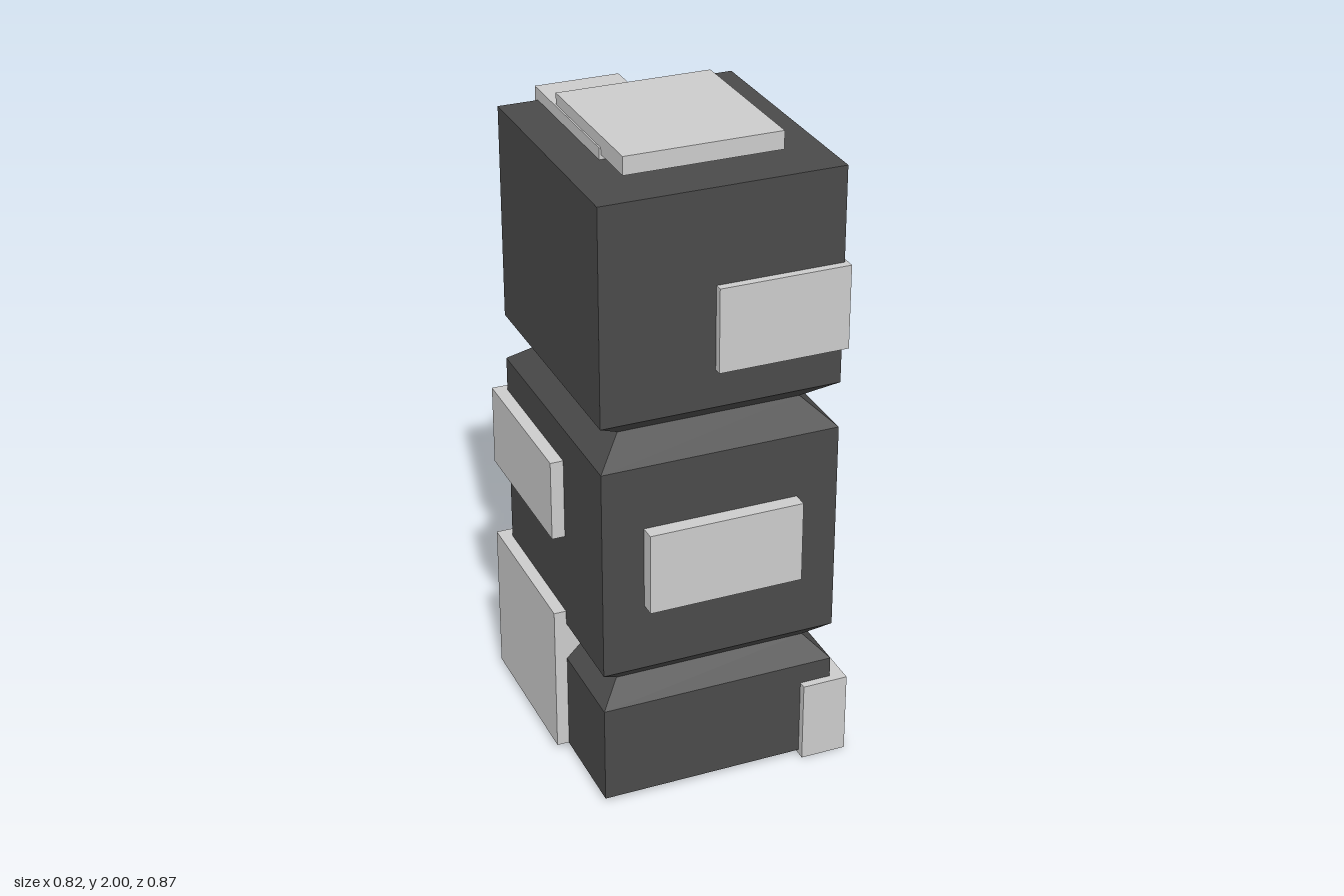
import * as THREE from 'three';

const dark = new THREE.MeshStandardMaterial({ color: 0x4a4a4a, flatShading: true });
const grey = new THREE.MeshStandardMaterial({ color: 0xcccccc, flatShading: true });

// Square column lofted through rectangular rings: [y, x0, x1, z0, z1]
function loft(rings) {
  const pos = [];
  const corners = rings.map(([y, x0, x1, z0, z1]) => [
    [x0, y, z1], [x1, y, z1], [x1, y, z0], [x0, y, z0],
  ]);
  const quad = (a, b, c, d) => pos.push(...a, ...b, ...c, ...a, ...c, ...d);
  for (let i = 0; i < corners.length - 1; i++) {
    const lo = corners[i], hi = corners[i + 1];
    for (let k = 0; k < 4; k++) {
      const n = (k + 1) % 4;
      quad(lo[k], lo[n], hi[n], hi[k]);
    }
  }
  const [a, b, c, d] = corners[0];
  quad(d, c, b, a);
  quad(...corners[corners.length - 1]);
  const g = new THREE.BufferGeometry();
  g.setAttribute('position', new THREE.Float32BufferAttribute(pos, 3));
  g.computeVertexNormals();
  return g;
}

// Box given by its extents
function slab(name, [x0, x1], [y0, y1], [z0, z1]) {
  const mesh = new THREE.Mesh(new THREE.BoxGeometry(x1 - x0, y1 - y0, z1 - z0), grey);
  mesh.position.set((x0 + x1) / 2, (y0 + y1) / 2, (z0 + z1) / 2);
  mesh.name = name;
  return mesh;
}

export function createModel() {
  const model = new THREE.Group();
  model.name = 'notchedColumn';

  // Dark column with two V-shaped grooves running around it
  const full = [-0.37, 0.363, -0.393, 0.386];
  const column = new THREE.Mesh(loft([
    [0.013, ...full],
    [0.325, ...full],
    [0.39, -0.305, 0.297, -0.325, 0.32],
    [0.45, ...full],
    [1.12, ...full],
    [1.197, -0.285, 0.278, -0.3, 0.298],
    [1.265, ...full],
    [1.93, ...full],
  ]), dark);
  column.name = 'column';
  model.add(column);

  // Raised blocks on the faces and wrapped around the corners
  model.add(
    slab('topPlate', [-0.242, 0.235], [1.945, 2.0], [-0.257, 0.25]),
    slab('upperBackBlock', [-0.247, 0.012], [1.487, 1.965], [-0.417, 0.09]),
    slab('upperFrontBlock', [-0.025, 0.373], [1.382, 1.64], [-0.093, 0.411]),
    slab('middleFrontBlock', [-0.242, 0.235], [0.663, 0.92], [0.3, 0.433]),
    slab('middleLeftBlock', [0.235, 0.393], [0.558, 1.033], [-0.428, -0.055]),
    slab('middleBackBlock', [-0.41, 0.066], [0.757, 1.012], [-0.422, 0.085]),
    slab('lowerFrontBlock', [0.265, 0.408], [0.0, 0.26], [-0.093, 0.411]),
    slab('lowerBackBlock', [-0.408, -0.148], [0.015, 0.494], [-0.434, 0.08]),
  );
  return model;
}
